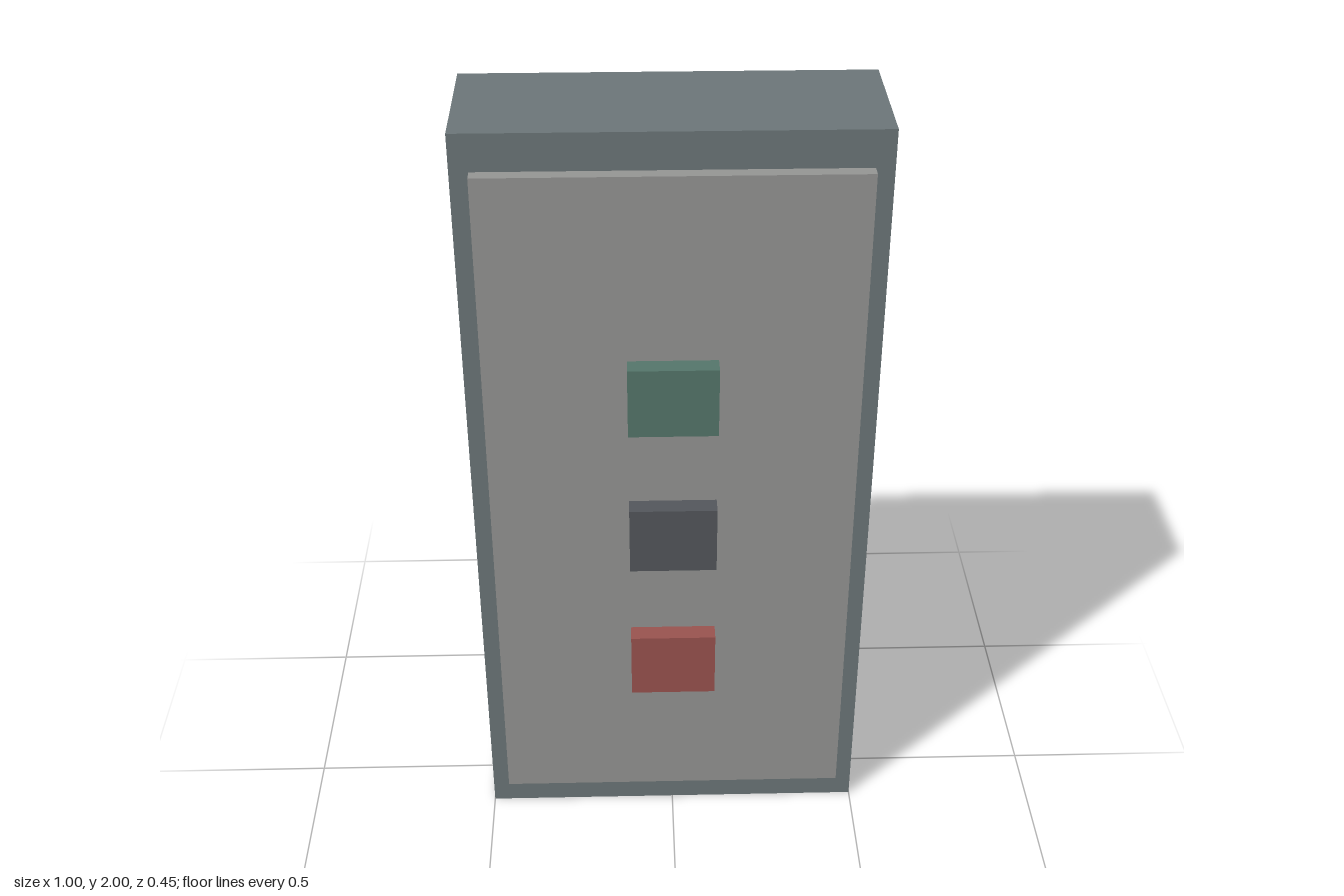
import * as THREE from 'three';

// Box given by its width, height, centre height and z range
function block(name, color, w, h, y, zBack, zFront) {
  const mesh = new THREE.Mesh(
    new THREE.BoxGeometry(w, h, zFront - zBack),
    new THREE.MeshStandardMaterial({ color })
  );
  mesh.name = name;
  mesh.position.set(0, y, (zBack + zFront) / 2);
  return mesh;
}

export function createModel() {
  const model = new THREE.Group();
  model.name = 'controlBox';

  // Housing, with the face plate standing just proud of it
  model.add(block('housing', 0x6b7578, 1, 2, 1, -0.225, 0.137));
  model.add(block('facePlate', 0x939492, 0.909, 1.818, 1.002, 0.143, 0.177));

  // Push buttons, top to bottom
  const buttons = [
    ['greenButton', 0x54756a, 1.35],
    ['darkButton', 0x53565b, 0.95],
    ['redButton', 0x98524e, 0.55],
  ];
  for (const [name, color, y] of buttons) {
    model.add(block(name, color, 0.218, 0.182, y, 0.177, 0.225));
  }
  return model;
}
